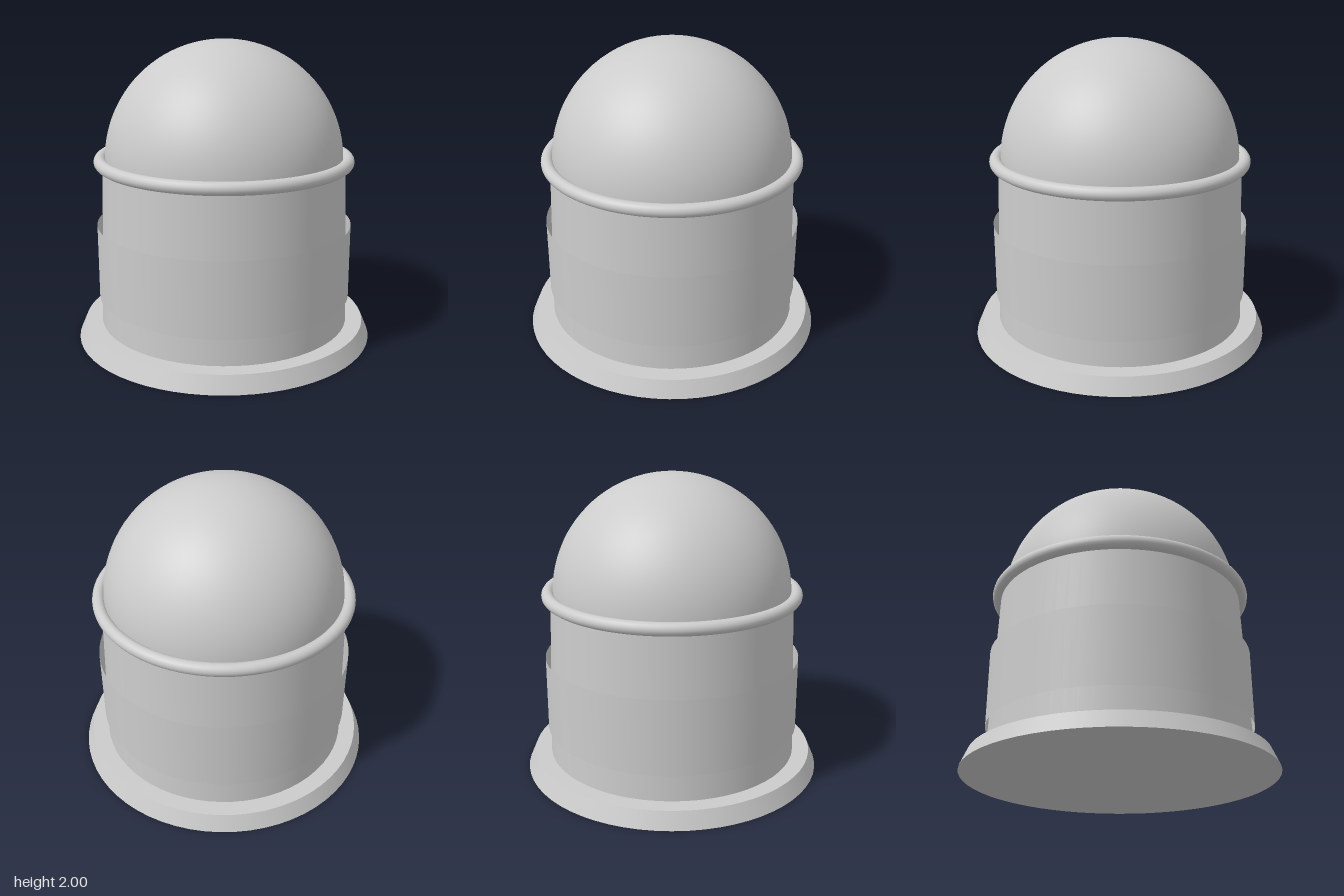
import * as THREE from 'three';

const SEGMENTS = 64;

export function createModel() {
  const model = new THREE.Group();
  const grey = new THREE.MeshStandardMaterial({ color: 0xcccccc });
  const greyOpen = new THREE.MeshStandardMaterial({ color: 0xcccccc, side: THREE.DoubleSide });

  const add = (name, geometry, y, material = grey) => {
    const mesh = new THREE.Mesh(geometry, material);
    mesh.name = name;
    mesh.position.y = y;
    model.add(mesh);
    return mesh;
  };

  // Round wall between two heights, tapering from bottom to top radius
  const addWall = (name, bottomRadius, topRadius, y0, y1, open = false) =>
    add(name,
      new THREE.CylinderGeometry(topRadius, bottomRadius, y1 - y0, SEGMENTS, 1, open),
      (y0 + y1) / 2, open ? greyOpen : grey);

  // Flared foot, tapered drum and the open sleeve around it
  addWall('basePlinth', 1, 0.953, 0, 0.11);
  addWall('drum', 0.842, 0.806, 0.11, 1.21);
  addWall('sleeveBand', 0.855, 0.855, 0.288, 0.785, true);

  // Rounded ring where the dome meets the drum
  add('domeRing', new THREE.TorusGeometry(0.822, 0.042, 16, 96).rotateX(Math.PI / 2), 1.214);

  // Hemispherical dome
  add('dome', new THREE.SphereGeometry(0.79, SEGMENTS, 24, 0, Math.PI * 2, 0, Math.PI / 2), 1.21, greyOpen);

  return model;
}
